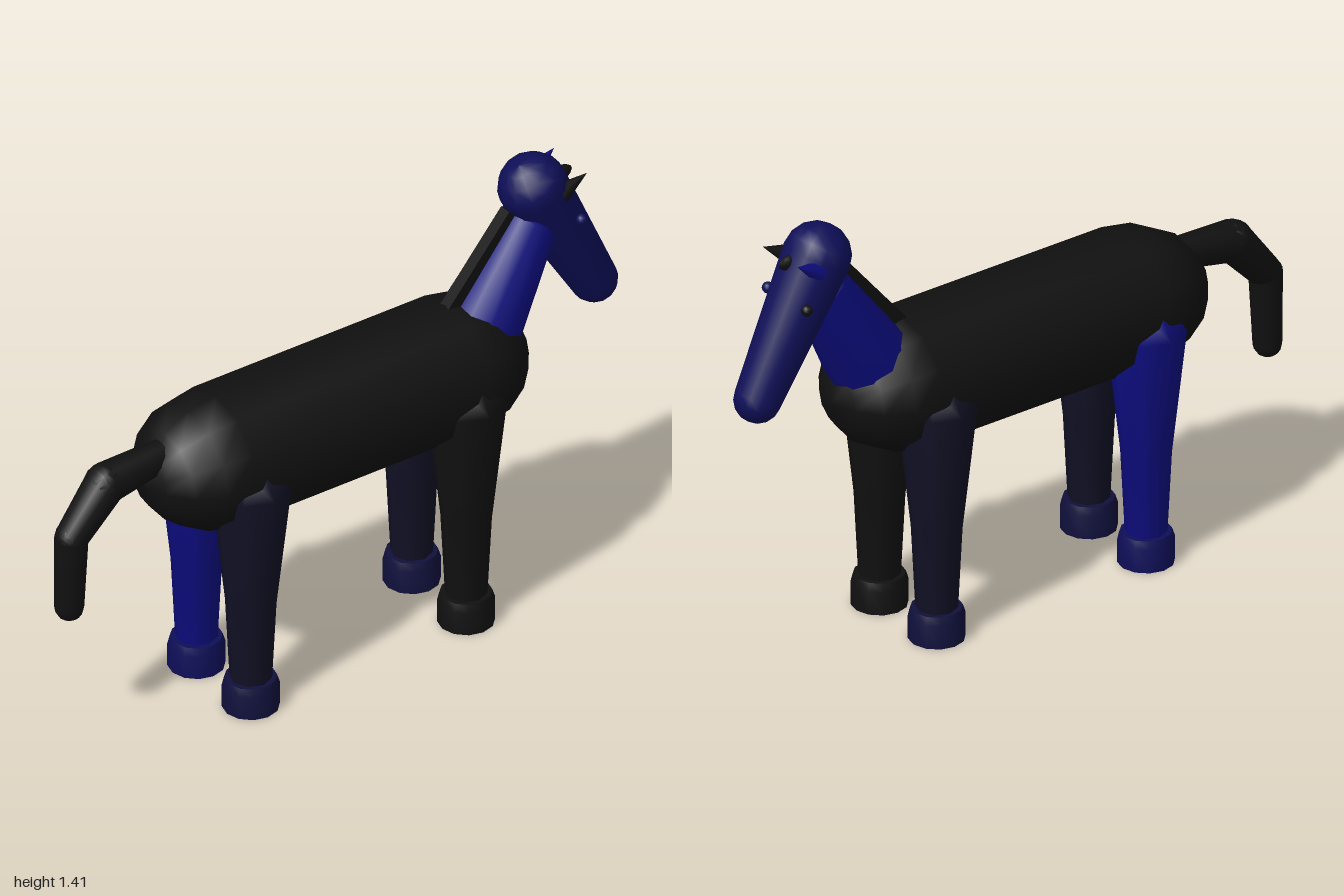
import * as THREE from 'three';
import { toCreasedNormals } from 'three/addons/utils/BufferGeometryUtils.js';

const paint = (name, color) => {
  const m = new THREE.MeshStandardMaterial({ color });
  m.name = name;
  return m;
};

export function createModel() {
  const group = new THREE.Group();
  const black = paint('black', 0x101010);
  const brightBlue = paint('bright blue', 0x0c0c7c);
  const headBlue = paint('deep blue', 0x0e0e58);
  const hoofBlue = paint('dark blue', 0x10103c);
  const navy = paint('navy', 0x101024);

  const add = (name, geometry, material, parent = group) => {
    const mesh = new THREE.Mesh(geometry, material);
    mesh.name = name;
    parent.add(mesh);
    return mesh;
  };

  // Tapered capsule from a to b, with domed ends of the given lengths
  const UP = new THREE.Vector3(0, 1, 0);
  const limb = (name, a, b, ra, rb, material, { sides = 12, capA = ra, capB = rb, steps = 4 } = {}) => {
    const start = new THREE.Vector3(...a);
    const dir = new THREE.Vector3(...b).sub(start);
    const length = dir.length();
    const points = [];
    for (let i = 0; i <= steps; i++) {
      const t = (i / steps) * Math.PI / 2;
      points.push(new THREE.Vector2(ra * Math.sin(t), -capA * Math.cos(t)));
    }
    for (let i = steps; i >= 0; i--) {
      const t = (i / steps) * Math.PI / 2;
      points.push(new THREE.Vector2(rb * Math.sin(t), length + capB * Math.cos(t)));
    }
    const mesh = add(name, new THREE.LatheGeometry(points, sides), material);
    mesh.position.copy(start);
    mesh.quaternion.setFromUnitVectors(UP, dir.normalize());
    return mesh;
  };

  // Barrel body
  limb('body', [-0.43, 0.8, 0], [0.4, 0.8, 0], 0.21, 0.21, black, { capA: 0.26, capB: 0.25 })
    .scale.z = 1.06;

  // Neck with a thin mane along its back
  limb('neck', [0.52, 0.907, 0], [0.7, 1.2, 0], 0.131, 0.088, brightBlue, { capA: 0.04, capB: 0.04 });
  const mane = add('mane', new THREE.BoxGeometry(0.06, 0.35, 0.04), black);
  mane.position.set(0.517, 1.108, 0);
  mane.rotation.z = -Math.atan2(0.205, 0.24);

  // Head tapering to the muzzle
  limb('head', [0.708, 1.3, 0], [0.924, 0.903, 0], 0.106, 0.073, headBlue);

  // Forelock between the ears
  const forelock = add('forelock', new THREE.SphereGeometry(1, 10, 8), black);
  forelock.scale.set(0.05, 0.025, 0.016);
  forelock.position.set(0.797, 1.313, 0);

  // Eyes and ears
  for (const side of [1, -1]) {
    const label = side > 0 ? 'near' : 'far';
    const eye = add(label + 'Eye', new THREE.SphereGeometry(0.018, 10, 8), side > 0 ? headBlue : black);
    eye.position.set(0.815, 1.195, side * 0.092);
    const ear = add(label + 'Ear', new THREE.ConeGeometry(0.032, 0.1, 8), side > 0 ? black : brightBlue);
    ear.position.set(0.798, 1.318, side * 0.076);
    ear.quaternion.setFromUnitVectors(UP, new THREE.Vector3(0.87, 0.46, side * 0.12).normalize());
  }

  // Tail in three drooping sections
  limb('tailRoot', [-0.58, 0.885, 0], [-0.825, 0.857, 0], 0.046, 0.064, black);
  limb('tailMiddle', [-0.825, 0.857, 0], [-0.948, 0.715, 0], 0.064, 0.051, black);
  limb('tailTip', [-0.948, 0.715, 0], [-0.955, 0.48, 0], 0.051, 0.044, black);

  // Four legs with hooves
  const profile = (list) => list.map(([r, y]) => new THREE.Vector2(r, y));
  const legShape = new THREE.LatheGeometry(
    profile([[0.062, 0.05], [0.063, 0.1], [0.076, 0.36], [0.12, 0.76], [0.07, 0.84], [0, 0.86]]), 8);
  const hoofShape = toCreasedNormals(new THREE.LatheGeometry(
    profile([[0, 0], [0.085, 0], [0.085, 0.075], [0.077, 0.1], [0, 0.1]]), 12), 1);
  const legs = [
    ['frontLeftLeg', 0.37, -1, navy, hoofBlue],
    ['frontRightLeg', 0.37, 1, black, black],
    ['hindLeftLeg', -0.402, -1, brightBlue, headBlue],
    ['hindRightLeg', -0.402, 1, navy, hoofBlue],
  ];
  for (const [name, x, side, legColor, hoofColor] of legs) {
    const leg = new THREE.Group();
    leg.name = name;
    leg.position.set(x, 0, side * 0.135);
    add('leg', legShape, legColor, leg);
    add('hoof', hoofShape, hoofColor, leg);
    group.add(leg);
  }

  return group;
}
